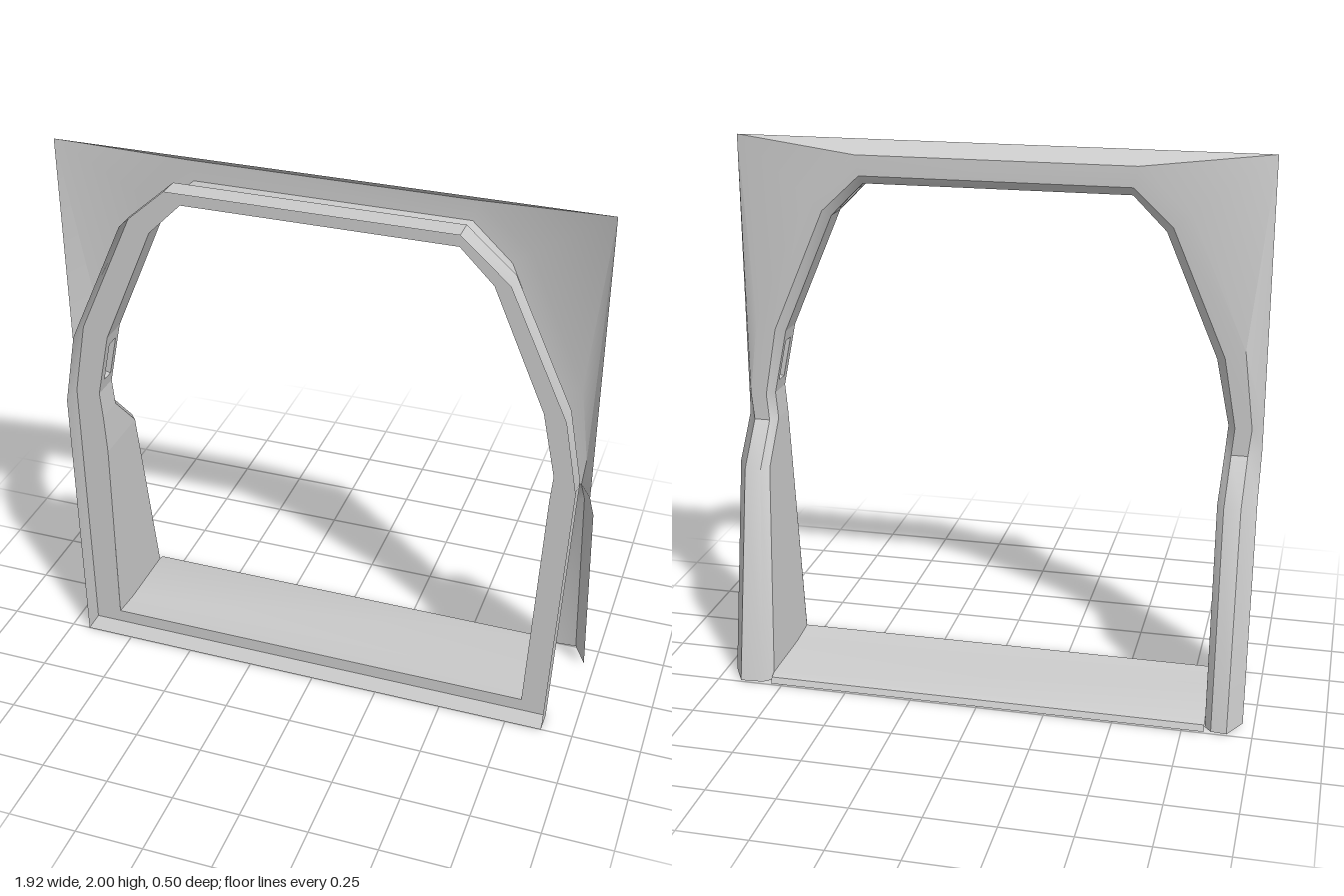
import * as THREE from 'three';
import { toCreasedNormals } from 'three/addons/utils/BufferGeometryUtils.js';

const material = new THREE.MeshStandardMaterial({ color: 0xcccccc, side: THREE.DoubleSide });
const FLANGE_Z = 0.17, RIM_Z = 0.25;

// Piecewise linear depth of the surround: straight above, kicked backwards below
function depthAt(y, top, knee, foot) {
  if (y >= 0.95) return top;
  if (y >= 0.8) return knee + (top - knee) * (y - 0.8) / 0.15;
  return foot + (knee - foot) * y / 0.8;
}
const backZ = y => depthAt(y, 0.035, -0.1, -0.25);
const edgeZ = y => depthAt(y, 0.11, -0.01, -0.16);

// Mirrors a left half outline into an arch; the other foot may stand elsewhere
function arch(half, otherFootX) {
  const other = half.map(([x, y]) => [-x, y]).reverse();
  if (otherFootX !== undefined) other[other.length - 1][0] = otherFootX;
  return [...half, ...other];
}

// Skins a series of rows of [x, y, z] points with equal counts
function loft(rows, closed = false, crease = 0.55) {
  const n = rows[0].length, positions = [];
  const same = (a, b) => a.every((v, i) => Math.abs(v - b[i]) < 1e-6);
  const tri = (a, b, c) => {
    if (!same(a, b) && !same(b, c) && !same(a, c)) positions.push(...a, ...b, ...c);
  };
  for (let r = 0; r < rows.length - 1; r++) {
    for (let i = 0; i < (closed ? n : n - 1); i++) {
      const j = (i + 1) % n;
      tri(rows[r][i], rows[r][j], rows[r + 1][j]);
      tri(rows[r][i], rows[r + 1][j], rows[r + 1][i]);
    }
  }
  const geometry = new THREE.BufferGeometry();
  geometry.setAttribute('position', new THREE.Float32BufferAttribute(positions, 3));
  return toCreasedNormals(geometry, crease);
}

const shapeOf = points => new THREE.Shape(points.map(([x, y]) => new THREE.Vector2(x, y)));

function rectangle(x0, x1, y0, y1) {
  return [[x0, y0], [x1, y0], [x1, y1], [x0, y1]];
}

export function createModel() {
  const group = new THREE.Group();
  const add = (name, geometry, matrix) => {
    const mesh = new THREE.Mesh(geometry, material);
    mesh.name = name;
    if (matrix) mesh.applyMatrix4(matrix);
    group.add(mesh);
  };

  const opening = arch([[0.79, 0.035], [0.825, 0.8], [0.832, 0.95], [0.84, 1.05],
    [0.79, 1.29], [0.6, 1.73], [0.48, 1.85]], -0.83);
  const rim = arch([[0.885, 0], [0.93, 1.05], [0.88, 1.32], [0.67, 1.78], [0.5, 1.93]], -0.93);

  // Front rim and the flat flange inside it
  add('frontRim', loft([rim.map(([x, y]) => [x, y, FLANGE_Z]),
    rim.map(([x, y]) => [x, y, RIM_Z])], true));
  const flange = shapeOf(rim);
  flange.holes.push(shapeOf(opening.map(([x, y]) => [x, Math.max(y, 0.05)])));
  add('frontFlange', new THREE.ShapeGeometry(flange).translate(0, 0, FLANGE_Z));

  // Lining of the opening, one flat panel per side, some with a recessed pocket
  for (let i = 0; i < opening.length - 1; i++) {
    const [x0, y0] = opening[i], [x1, y1] = opening[i + 1];
    const length = Math.hypot(x1 - x0, y1 - y0);
    const along = new THREE.Vector3(x1 - x0, y1 - y0, 0).normalize();
    const forward = new THREE.Vector3(0, 0, 1);
    const matrix = new THREE.Matrix4()
      .makeBasis(along, forward, along.clone().cross(forward)).setPosition(x0, y0, 0);
    const wall = shapeOf([[0, FLANGE_Z], [0, backZ(y0) + 0.03],
      [length, backZ(y1) + 0.03], [length, FLANGE_Z]]);
    const sidePocket = i === 3 || i === opening.length - 5;
    const cornerPocket = i === 5 || i === opening.length - 7;
    if (sidePocket || cornerPocket) {
      const half = sidePocket ? 0.09 : 0.065, mid = length / 2;
      const outer = rectangle(mid - half, mid + half, 0.075, 0.15);
      const inner = rectangle(mid - half + 0.012, mid + half - 0.012, 0.087, 0.138);
      wall.holes.push(shapeOf(inner));
      const frame = shapeOf(outer);
      frame.holes.push(shapeOf(inner));
      add('pocketFrame', new THREE.ExtrudeGeometry(frame,
        { depth: 0.022, bevelEnabled: false }), matrix);
      add('pocketBack', new THREE.ShapeGeometry(shapeOf(outer)).translate(0, 0, 0.022), matrix);
    }
    add('openingLining', new THREE.ShapeGeometry(wall), matrix);
  }

  // Sill with a rolled rear lip
  const sill = [[0.05, FLANGE_Z], [0.037, 0.05], [0.035, -0.22], [0.027, -0.24], [0.005, -0.25]];
  add('sill', loft(sill.map(([y, z]) => [[-0.83, y, z], [0.79, y, z]])));

  // Rear surround: chamfered inner edge, flat back face, then a sweep to the square border
  const face = arch([[0.91, 0.005], [0.91, 0.8], [0.915, 0.95], [0.925, 1.05],
    [0.89, 1.33], [0.685, 1.8], [0.5, 1.955]]);
  const border = arch([[0.96, 0.005], [0.96, 0.8], [0.96, 0.95], [0.96, 1.05],
    [0.96, 2], [0.96, 2], [0.96, 2]]);
  const foot = y => (y < 0.05 ? 0.005 : y);
  const lip = opening.map(([x, y], i) => [x, foot(y), backZ(y) + 0.03]);
  const innerFace = opening.map(([x, y], i) => {
    const t = 0.3;
    return [x + (face[i][0] - x) * t, foot(y) + (face[i][1] - foot(y)) * t, backZ(y)];
  });
  const outerFace = face.map(([x, y]) => [x, y, backZ(y)]);
  const edge = border.map(([x, y]) => [x, y, edgeZ(y)]);
  add('rearSurround', loft([lip, innerFace, outerFace, edge], false, 0.7));

  return group;
}
